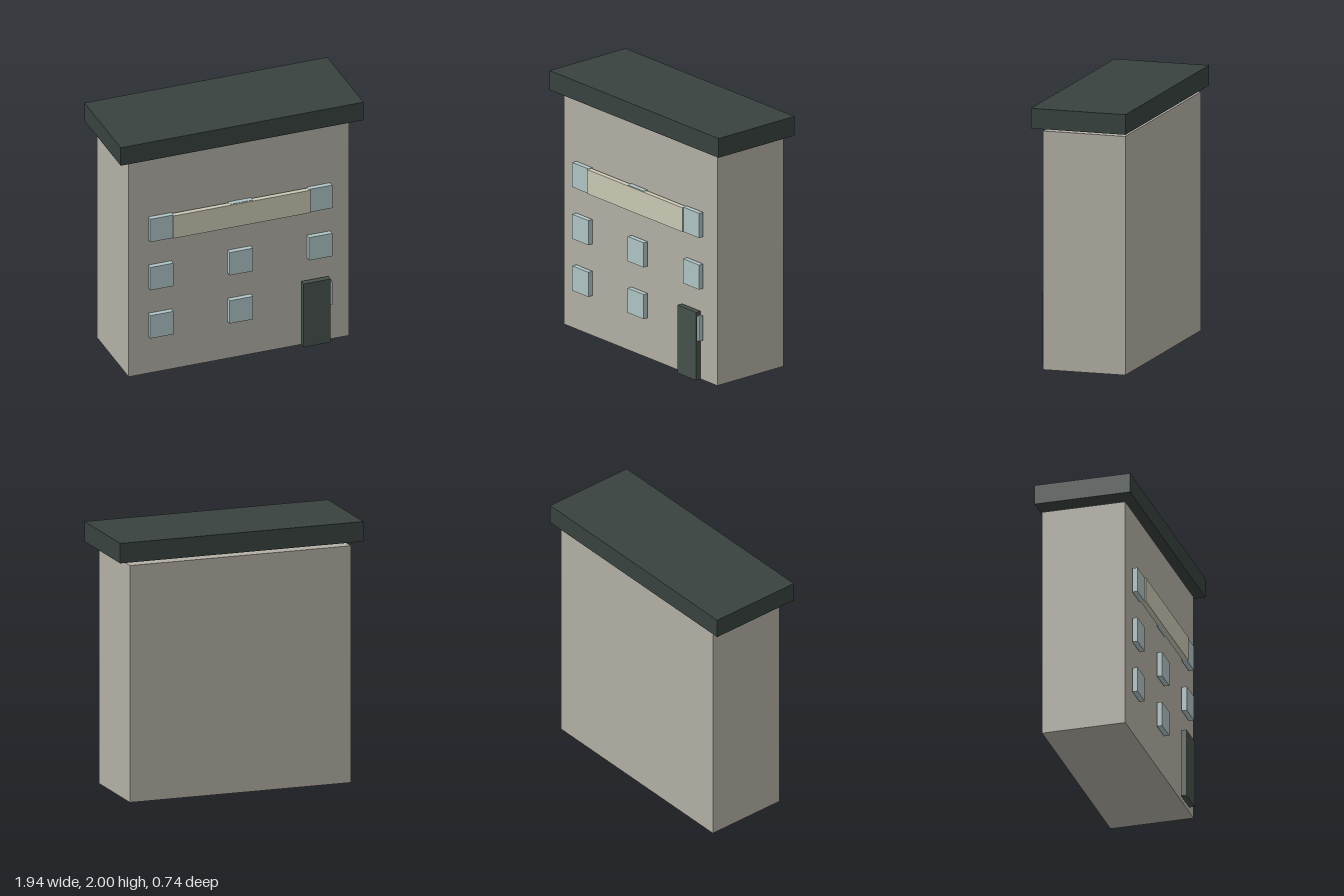
import * as THREE from 'three';

const paint = (color) => new THREE.MeshStandardMaterial({ color });

export function createModel() {
  const building = new THREE.Group();
  building.name = 'building';

  // Box given by its extents along each axis
  const block = (name, material, [x0, x1], [y0, y1], [z0, z1]) => {
    const mesh = new THREE.Mesh(new THREE.BoxGeometry(x1 - x0, y1 - y0, z1 - z0), material);
    mesh.position.set((x0 + x1) / 2, (y0 + y1) / 2, (z0 + z1) / 2);
    mesh.name = name;
    building.add(mesh);
  };

  const wall = paint(0xb3afa5);
  const roof = paint(0x38423e);
  const glass = paint(0xb0c4c5);
  const sign = paint(0xcbc8b4);
  const door = paint(0x46524c);

  // Main block and the overhanging roof slab floating just above it
  block('walls', wall, [-0.883, 0.878], [0, 1.815], [-0.34, 0.307]);
  block('roof', roof, [-0.972, 0.968], [1.847, 2], [-0.372, 0.372]);

  // Three rows of three windows, set just off the facade
  for (const y of [0.32, 0.73, 1.14]) {
    for (const x of [-0.73, -0.095, 0.54]) {
      block('window', glass, [x, x + 0.185], [y, y + 0.195], [0.316, 0.356]);
    }
  }

  // Long sign board over the top row, and the entrance door
  block('signBoard', sign, [-0.549, 0.545], [1.14, 1.332], [0.325, 0.366]);
  block('door', door, [0.49, 0.705], [0.008, 0.547], [0.324, 0.368]);

  return building;
}
